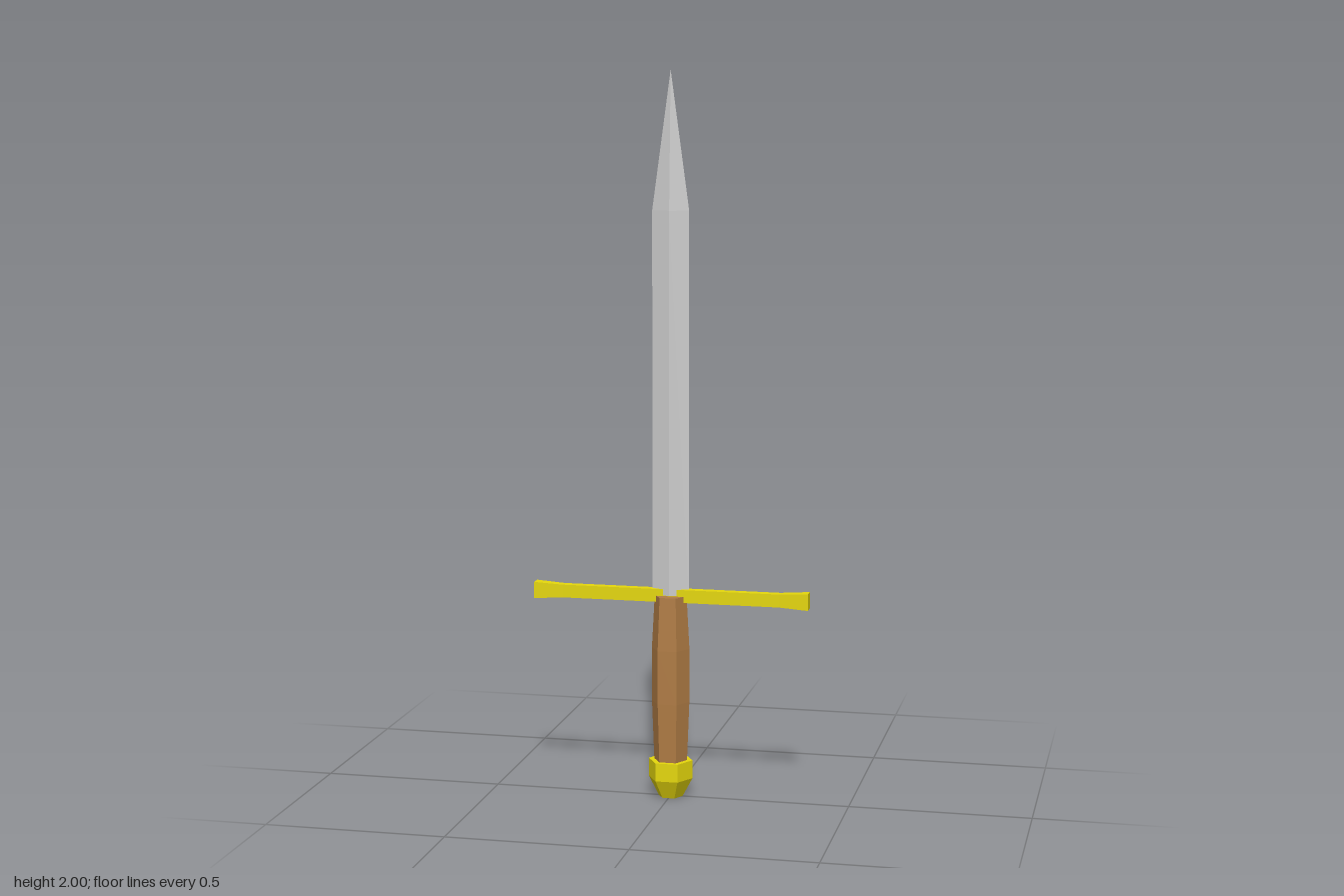
import * as THREE from 'three';

const material = (color) => new THREE.MeshStandardMaterial({ color, flatShading: true });

// Faceted solid from a [radius, y] profile listed bottom to top, with corners on the x axis
function facetedSolid(name, profile, sides, mat, depthScale = 1) {
  const points = profile.map(([r, y]) => new THREE.Vector2(r, y));
  const geometry = new THREE.LatheGeometry(points, sides, Math.PI / 2);
  geometry.scale(1, 1, depthScale);
  const mesh = new THREE.Mesh(geometry, mat);
  mesh.name = name;
  return mesh;
}

// Slim bar whose two ends flare out
function createGuard(mat) {
  const geometry = new THREE.BoxGeometry(2, 2, 2, 3, 1, 1);
  const p = geometry.attributes.position;
  for (let i = 0; i < p.count; i++) {
    const end = Math.abs(p.getX(i)) > 0.9;
    p.setXYZ(
      i,
      Math.sign(p.getX(i)) * (end ? 0.385 : 0.305),
      p.getY(i) * (end ? 0.023 : 0.018),
      p.getZ(i) * (end ? 0.016 : 0.012)
    );
  }
  const guard = new THREE.Mesh(geometry, mat);
  guard.name = 'crossGuard';
  guard.position.y = 0.569;
  return guard;
}

export function createModel() {
  const steel = material(0xcccccc);
  const gold = material(0xe6d80c);
  const wood = material(0xb07c45);

  const sword = new THREE.Group();
  sword.name = 'sword';
  sword.add(
    // Diamond-section blade with a long point
    facetedSolid('blade', [[0, 0.57], [0.051, 0.57], [0.051, 1.625], [0, 2]], 4, steel, 0.37),
    createGuard(gold),
    // Six-sided grip, slightly swollen in the middle
    facetedSolid('grip', [
      [0, 0.09], [0.046, 0.09], [0.053, 0.27], [0.053, 0.42], [0.045, 0.568], [0, 0.568]
    ], 6, wood),
    // Six-sided pommel tapering to a flat base
    facetedSolid('pommel', [[0, 0], [0.034, 0], [0.062, 0.053], [0.062, 0.104], [0, 0.104]], 6, gold)
  );
  return sword;
}
